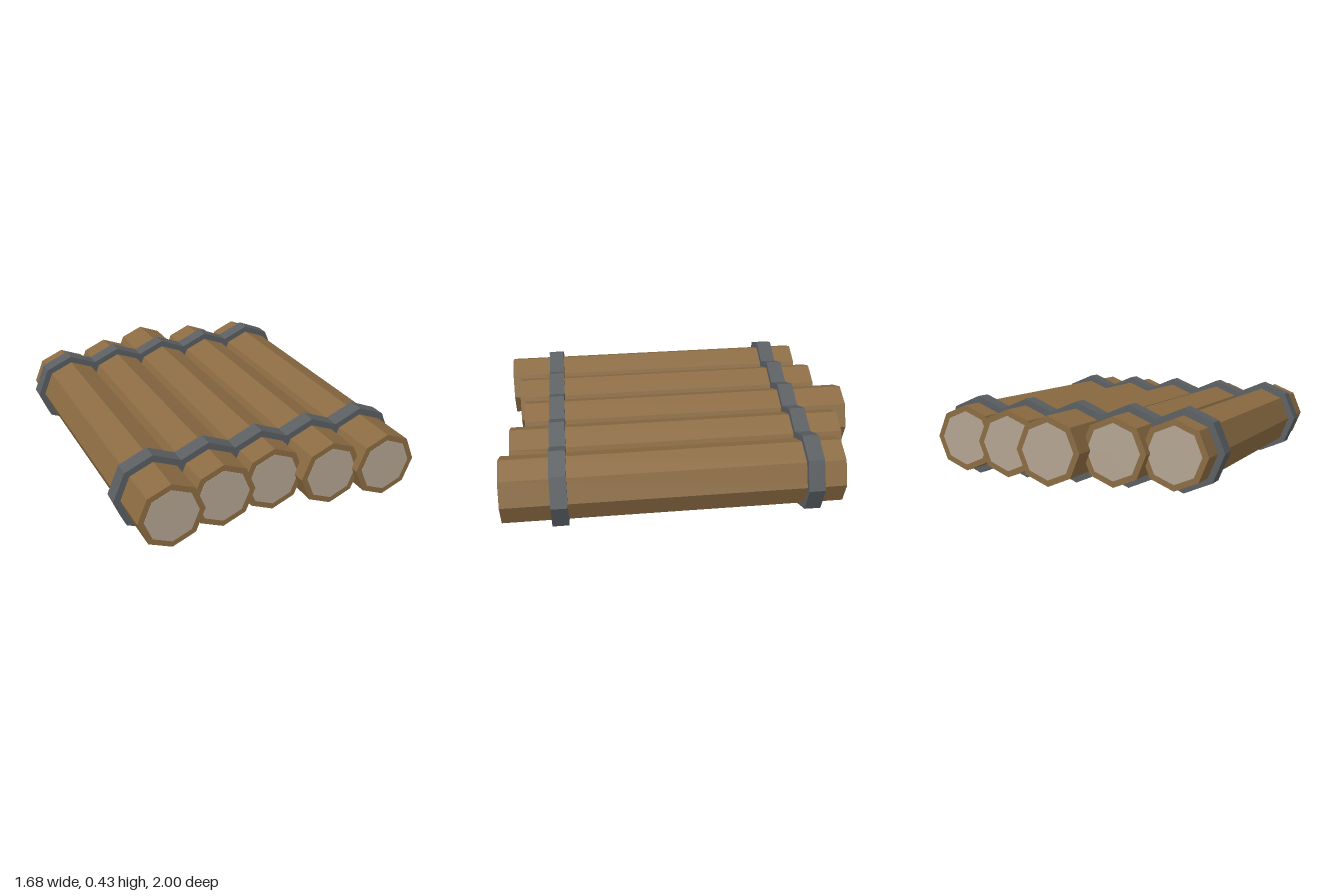
import * as THREE from 'three';

export function createModel() {
  const model = new THREE.Group();
  model.name = 'raftModel';
  // The whole raft is turned a touch about the vertical axis
  const raft = new THREE.Group();
  raft.name = 'raft';
  raft.rotation.y = 0.016;
  model.add(raft);

  const mat = (color) => new THREE.MeshStandardMaterial({ color, flatShading: true });
  const bark = mat(0x8b6b42), cutWood = mat(0xb3a492), strap = mat(0x5a5e61);

  const centreY = 0.219, spacing = 0.305, logRadius = 0.18;
  const logX = (i) => (i - 2) * spacing - 0.002;

  // Eight-sided prism lying along z
  function prism(name, radius, z0, z1, x, material, parent) {
    const geo = new THREE.CylinderGeometry(radius, radius, z1 - z0, 8);
    geo.rotateX(Math.PI / 2);
    const mesh = new THREE.Mesh(geo, material);
    mesh.name = name;
    mesh.position.set(x, centreY, (z0 + z1) / 2);
    parent.add(mesh);
  }

  // Logs of uneven length with pale cut faces at both ends
  const ends = [[-0.83, 0.97], [-0.88, 0.915], [-0.997, 0.88], [-0.885, 0.955], [-0.825, 1.0]];
  ends.forEach(([back, front], i) => {
    const log = new THREE.Group();
    log.name = 'log' + (i + 1);
    prism('bark', logRadius, back, front, logX(i), bark, log);
    prism('backCut', 0.147, back - 0.002, back + 0.01, logX(i), cutWood, log);
    prism('frontCut', 0.147, front - 0.01, front + 0.002, logX(i), cutWood, log);
    raft.add(log);
  });

  // Strap outline: joined octagons, with a peak over each log and valleys between
  const r = 0.217, d = spacing / 2;
  const top = [];
  for (let i = 0; i < 5; i++) {
    top.push([logX(i) - d, d], [logX(i), r]);
  }
  top.push([logX(4) + d, d]);
  const outline = [
    [logX(0) - r, 0], ...top.map(([x, y]) => [x, -y]),
    [logX(4) + r, 0], ...top.slice().reverse(),
  ].map(([x, y]) => new THREE.Vector2(x, y));
  const width = 0.088;
  const strapGeo = new THREE.ExtrudeGeometry(new THREE.Shape(outline), { depth: width, bevelEnabled: false });
  for (const [name, z] of [['frontStrap', 0.695], ['backStrap', -0.655]]) {
    const mesh = new THREE.Mesh(strapGeo, strap);
    mesh.name = name;
    mesh.position.set(0, centreY, z - width / 2);
    raft.add(mesh);
  }

  return model;
}
